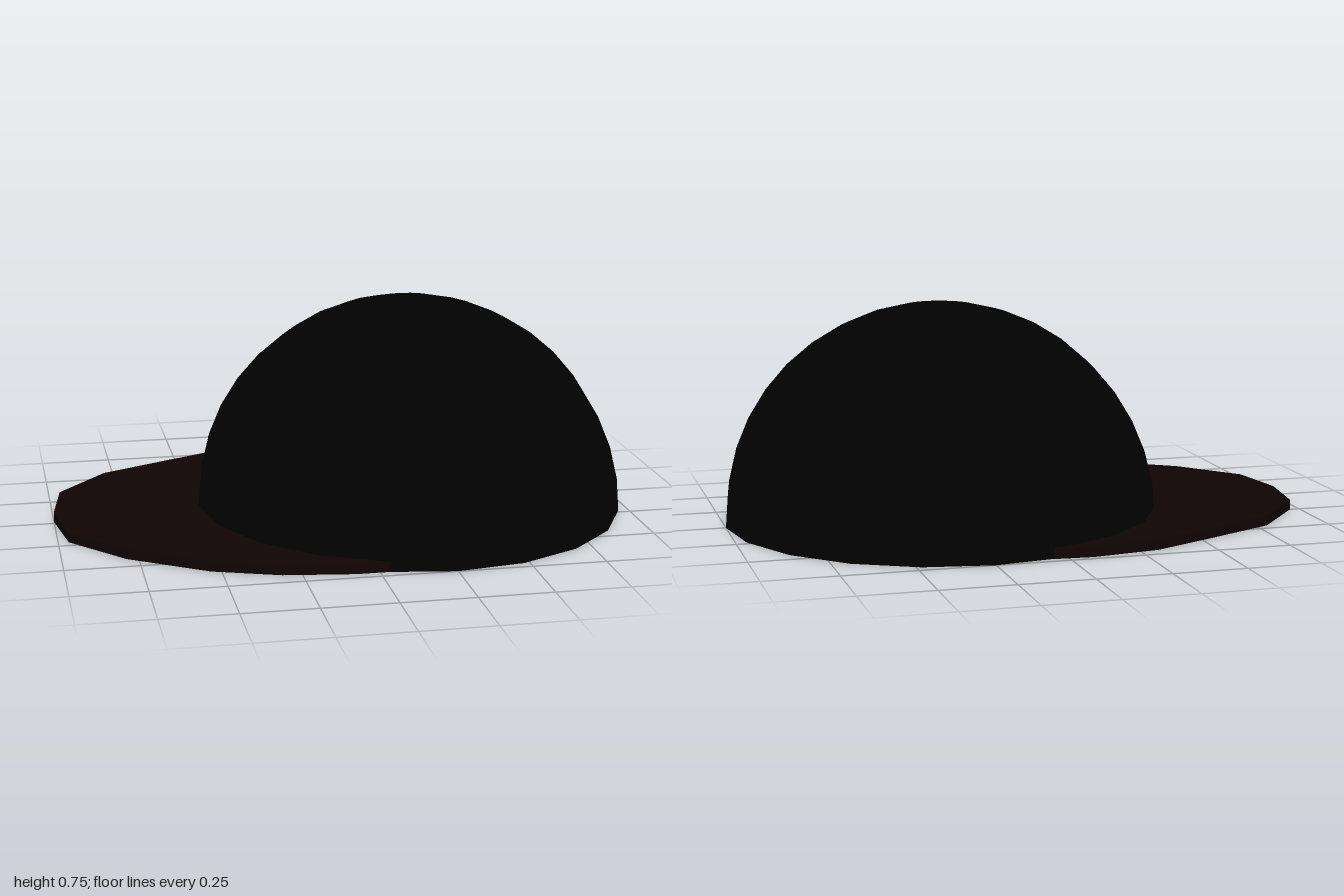
import * as THREE from 'three';

export function createModel() {
  const cap = new THREE.Group();
  cap.name = 'cap';
  const R = 0.75, centreX = 0.25, sides = 20;
  const black = new THREE.MeshStandardMaterial({ color: 0x010101, side: THREE.DoubleSide });
  const brown = new THREE.MeshStandardMaterial({ color: 0x100404 });

  const add = (name, geometry, material) => {
    const mesh = new THREE.Mesh(geometry, material);
    mesh.name = name;
    cap.add(mesh);
    return mesh;
  };

  // Hollow half-sphere crown, open underneath
  add('crown', new THREE.SphereGeometry(R, sides, 10, 0, Math.PI * 2, 0, Math.PI / 2), black)
    .position.x = centreX;

  // Crescent brim: outer outline, then back along the crown's rim
  const outline = [
    [0.05, -0.722], [-0.08, -0.73], [-0.31, -0.695], [-0.53, -0.59], [-0.79, -0.46],
    [-0.965, -0.25], [-1, -0.015], [-0.965, 0.215], [-0.79, 0.425], [-0.535, 0.6],
    [-0.315, 0.68], [-0.08, 0.715], [0.03, 0.715],
  ].map(([x, z]) => new THREE.Vector2(x, z));
  for (let i = 6; i <= 14; i++) {
    const a = (i / sides) * Math.PI * 2;
    outline.push(new THREE.Vector2(centreX + 0.72 * Math.cos(a), 0.72 * Math.sin(a)));
  }
  const brim = new THREE.ExtrudeGeometry(new THREE.Shape(outline), { depth: 0.035, bevelEnabled: false });
  brim.rotateX(Math.PI / 2);
  brim.translate(0, 0.035, 0);
  add('brim', brim, brown);

  return cap;
}
